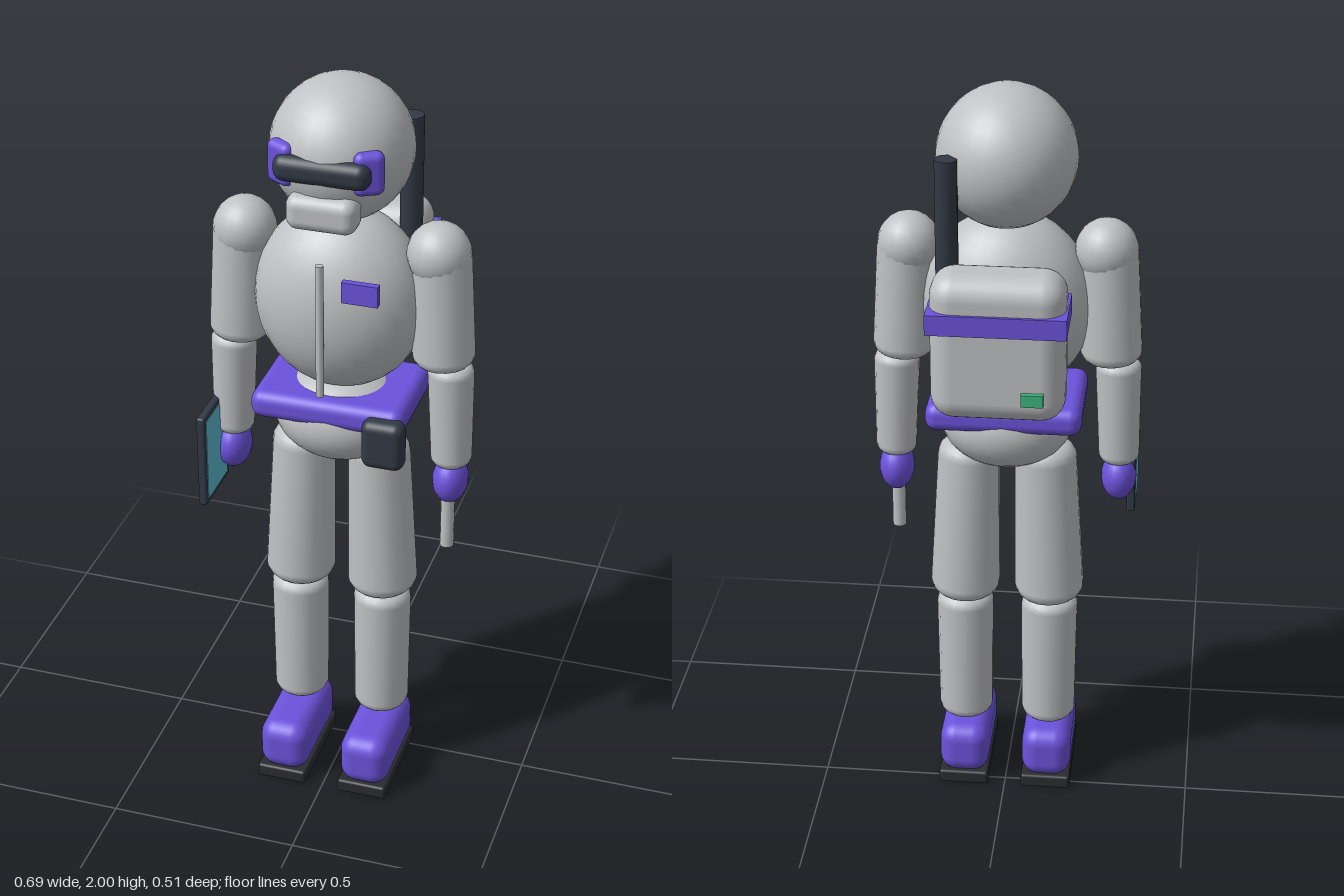
import * as THREE from 'three';
import { RoundedBoxGeometry } from 'three/addons/geometries/RoundedBoxGeometry.js';

const mat = (name, color) => {
  const m = new THREE.MeshStandardMaterial({ color });
  m.name = name;
  return m;
};

export function createModel() {
  const root = new THREE.Group();
  root.name = 'suitedExplorer';
  const suit = mat('suitGrey', 0xc0c1c4);
  const purple = mat('trimPurple', 0x6c53dc);
  const dark = mat('darkSlate', 0x323a45);
  const rubber = mat('soleRubber', 0x2b2c31);
  const cyan = mat('screenCyan', 0x5cb8d0);
  const green = mat('lampGreen', 0x3cb880);

  const add = (name, geo, material, pos) => {
    const mesh = new THREE.Mesh(geo, material);
    mesh.name = name;
    mesh.position.set(...pos);
    root.add(mesh);
    return mesh;
  };
  const ball = (name, material, pos, radii, seg = 28) => {
    const geo = new THREE.SphereGeometry(1, seg, Math.round(seg * 0.7));
    geo.scale(...radii);
    return add(name, geo, material, pos);
  };
  const block = (name, material, pos, size, r) =>
    add(name, r ? new RoundedBoxGeometry(...size, 4, r) : new THREE.BoxGeometry(...size), material, pos);
  const rod = (name, material, pos, r, h, seg) =>
    add(name, new THREE.CylinderGeometry(r, r, h, seg), material, pos);

  // Tapered limb with rounded rims, running between two points
  const limb = (name, bottom, top, rBottom, rTop, round) => {
    const a = new THREE.Vector3(...bottom), b = new THREE.Vector3(...top);
    const h = a.distanceTo(b), profile = [new THREE.Vector2(0, 0)];
    for (let i = 0; i <= 5; i++) {
      const t = (i / 5) * Math.PI / 2;
      profile.push(new THREE.Vector2(rBottom - round + round * Math.sin(t), round - round * Math.cos(t)));
    }
    for (let i = 0; i <= 5; i++) {
      const t = (i / 5) * Math.PI / 2;
      profile.push(new THREE.Vector2(rTop - round + round * Math.cos(t), h - round + round * Math.sin(t)));
    }
    profile.push(new THREE.Vector2(0, h));
    const mesh = add(name, new THREE.LatheGeometry(profile, 18), suit, bottom);
    mesh.quaternion.setFromUnitVectors(new THREE.Vector3(0, 1, 0), b.sub(a).normalize());
  };

  // Head and face
  ball('head', suit, [0, 1.82, 0.047], [0.177, 0.18, 0.185]);
  block('visor', dark, [0, 1.825, 0.208], [0.24, 0.068, 0.062], 0.028);
  block('mouthPiece', suit, [0, 1.717, 0.2], [0.176, 0.09, 0.085], 0.03);

  // Body
  ball('torso', suit, [0, 1.425, 0.06], [0.22, 0.245, 0.17]);
  ball('pelvis', suit, [0, 1.094, 0.06], [0.172, 0.123, 0.15]);
  block('belt', purple, [0, 1.148, 0.06], [0.4, 0.075, 0.288], 0.03);
  block('beltPouch', dark, [0.156, 1.104, 0.209], [0.11, 0.133, 0.06], 0.025);
  rod('zipper', suit, [0, 1.41, 0.236], 0.01, 0.36, 10);
  block('chestBadge', purple, [0.101, 1.527, 0.23], [0.092, 0.055, 0.018]);

  // Mirrored parts
  for (const s of [1, -1]) {
    const side = s > 0 ? 'left' : 'right';
    const pad = block(side + 'VisorPad', purple, [s * 0.108, 1.825, 0.187], [0.075, 0.11, 0.04], 0.019);
    pad.rotation.y = s * 0.5;

    ball(side + 'Shoulder', suit, [s * 0.249, 1.575, 0.06], [0.08, 0.081, 0.08], 20);
    limb(side + 'UpperArm', [s * 0.267, 1.272, 0.06], [s * 0.255, 1.6, 0.06], 0.079, 0.074, 0.032);
    limb(side + 'Forearm', [s * 0.292, 0.985, 0.06], [s * 0.285, 1.275, 0.06], 0.053, 0.059, 0.025);
    ball(side + 'Hand', purple, [s * 0.292, 0.94, 0.062], [0.046, 0.065, 0.06], 20);

    limb(side + 'Thigh', [s * 0.114, 0.568, 0.06], [s * 0.1, 1.027, 0.06], 0.092, 0.081, 0.04);
    limb(side + 'Shin', [s * 0.113, 0.187, 0.063], [s * 0.114, 0.568, 0.063], 0.073, 0.076, 0.03);
    block(side + 'Boot', purple, [s * 0.113, 0.1, 0.108], [0.134, 0.145, 0.29], 0.045);
    block(side + 'Sole', rubber, [s * 0.113, 0.019, 0.108], [0.134, 0.038, 0.292], 0.008);
  }

  // Backpack with strap, lamp and antenna
  block('backpack', suit, [0, 1.409, -0.162], [0.336, 0.383, 0.156], 0.06);
  block('backpackStrap', purple, [0, 1.487, -0.164], [0.346, 0.053, 0.168]);
  block('backpackLamp', green, [-0.09, 1.297, -0.245], [0.055, 0.032, 0.018]);
  rod('antenna', dark, [0.134, 1.69, -0.097], 0.029, 0.336, 10);

  // Hand tools: a baton and a tablet with a screen on both faces
  rod('baton', suit, [0.292, 0.85, 0.084], 0.018, 0.2, 14);
  block('tabletFrame', dark, [-0.325, 0.965, 0.137], [0.022, 0.26, 0.17], 0.006);
  for (const s of [1, -1]) {
    block('tabletScreen', cyan, [-0.325 + s * 0.0105, 0.965, 0.137], [0.004, 0.232, 0.144]);
  }
  return root;
}
